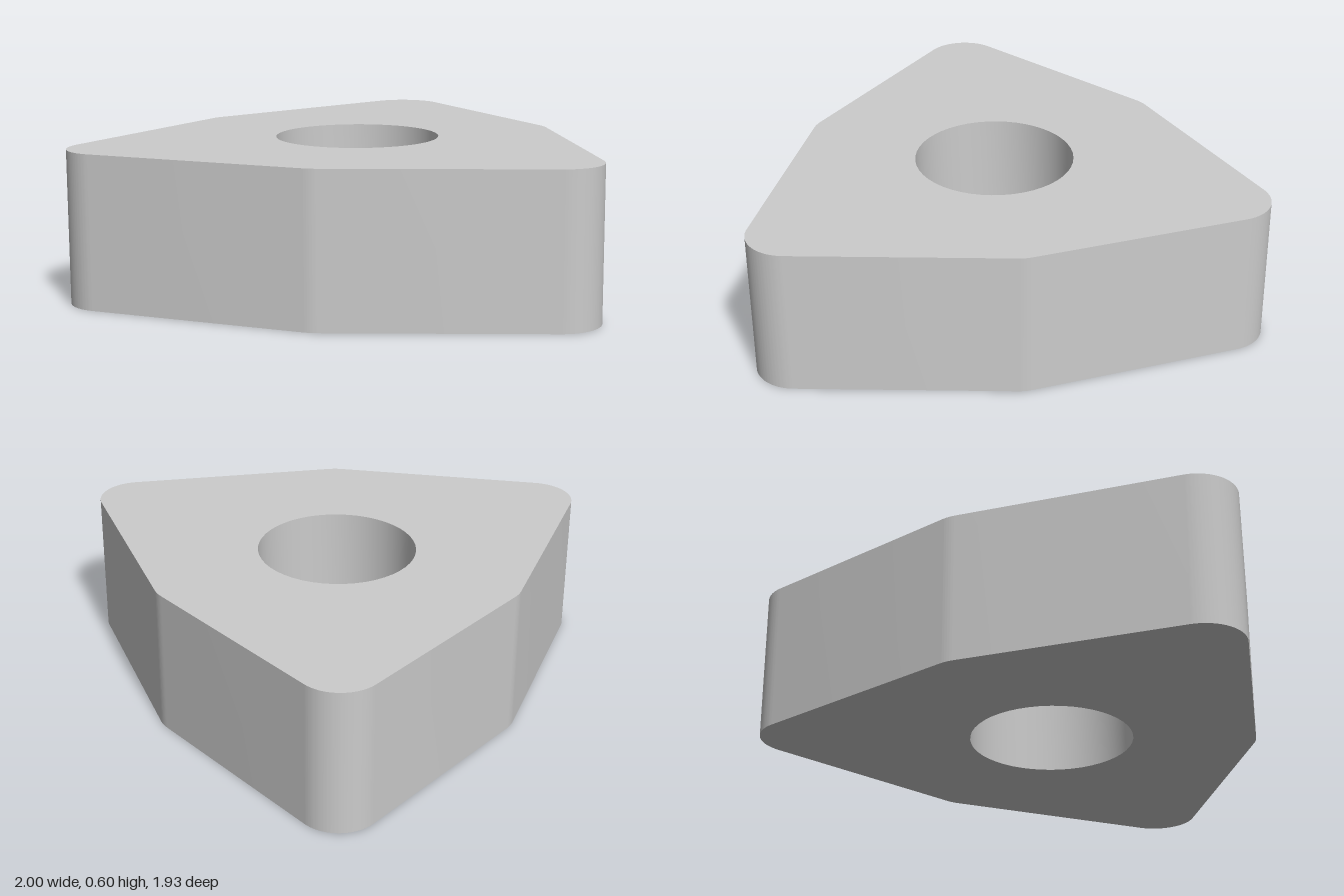
import * as THREE from 'three';
import { toCreasedNormals } from 'three/addons/utils/BufferGeometryUtils.js';

const HEIGHT = 0.595;
const CENTRE = { x: -0.087, z: 0.1625 }; // axis of the hole
const INRADIUS = 0.795;                  // hole axis to each side face
const FILLET = 0.165;
const HOLE_RADIUS = 0.321;

export function createModel() {
  const group = new THREE.Group();
  group.name = 'cuttingInsert';

  // Six-sided outline: sharp 80 degree tips alternate with blunt 160 degree corners
  const outline = new THREE.Shape();
  for (let i = 0; i < 6; i++) {
    const a = THREE.MathUtils.degToRad(-140 + i * 60);
    const half = THREE.MathUtils.degToRad(i % 2 ? 10 : 50);
    const d = (INRADIUS - FILLET) / Math.cos(half);
    outline.absarc(d * Math.cos(a), d * Math.sin(a), FILLET, a - half, a + half, false);
  }
  outline.closePath();

  // Round through hole
  const hole = new THREE.Path();
  hole.absarc(0, 0, HOLE_RADIUS, 0, Math.PI * 2, true);
  outline.holes.push(hole);

  // Straight-sided plate, smooth around the fillets and the hole
  const extruded = new THREE.ExtrudeGeometry(outline, {
    depth: HEIGHT, bevelEnabled: false, curveSegments: 24,
  });
  extruded.rotateX(-Math.PI / 2);
  extruded.translate(CENTRE.x, 0, CENTRE.z);

  const plate = new THREE.Mesh(
    toCreasedNormals(extruded, Math.PI / 6),
    new THREE.MeshStandardMaterial({ color: 0xcccccc }),
  );
  plate.name = 'plate';
  group.add(plate);
  return group;
}
